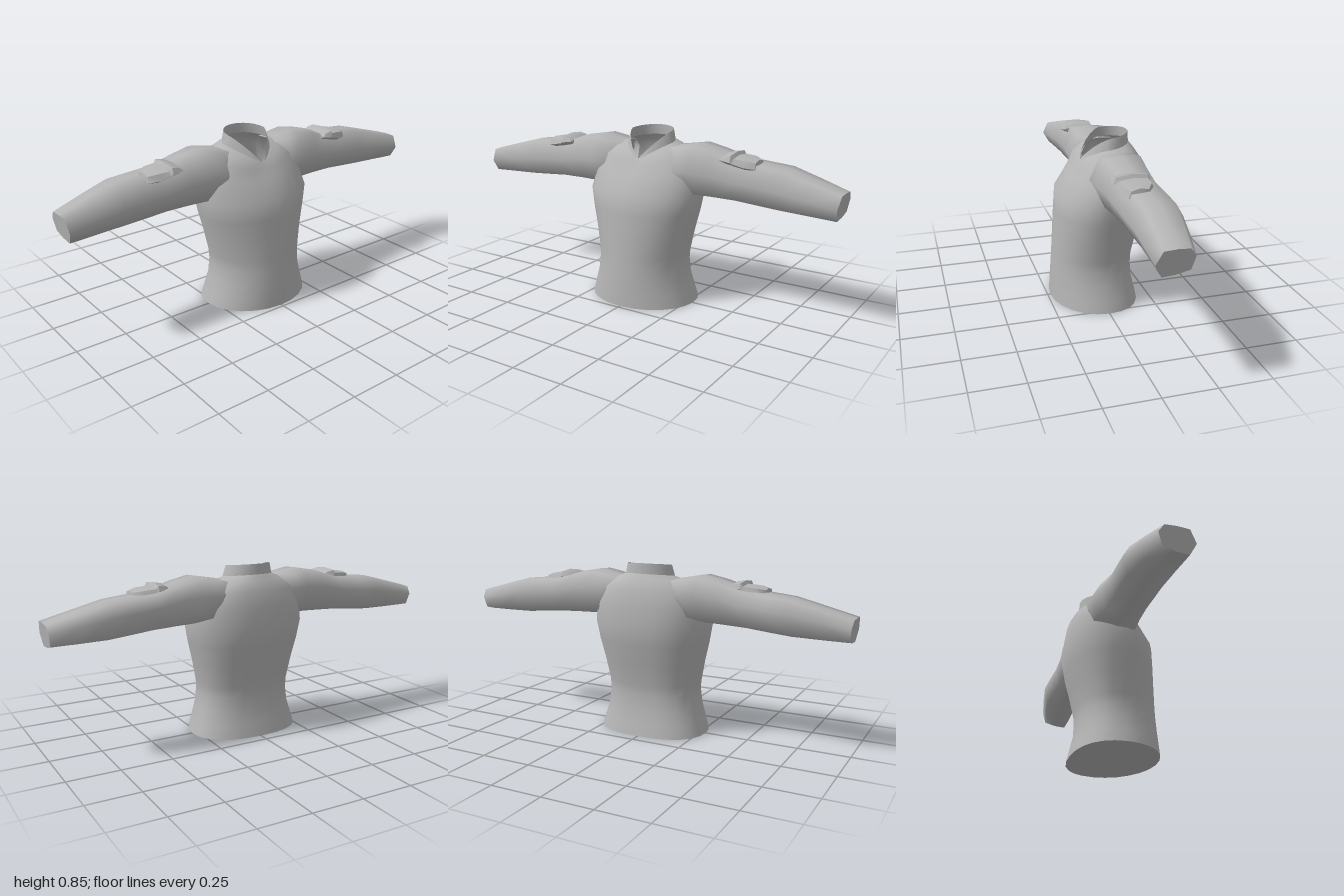
import * as THREE from 'three';
import { toCreasedNormals } from 'three/addons/utils/BufferGeometryUtils.js';

const spow = (v, e) => Math.sign(v) * Math.pow(Math.abs(v), e);

// Skin closed cross-sections; caps get their own vertices so their edges stay sharp
function loft(rings, { flip = false, capStart = false, capEnd = false } = {}) {
  const n = rings[0].length, pos = rings.flat(2), idx = [];
  const tri = (a, b, c) => (flip ? idx.push(a, c, b) : idx.push(a, b, c));
  for (let i = 0; i < rings.length - 1; i++) {
    for (let j = 0; j < n; j++) {
      const a = i * n + j, b = i * n + (j + 1) % n;
      tri(a, b, b + n);
      tri(a, b + n, a + n);
    }
  }
  const cap = (ring, start) => {
    const o = pos.length / 3;
    pos.push(...ring.flat());
    for (let j = 1; j < n - 1; j++) start ? tri(o, o + j + 1, o + j) : tri(o, o + j, o + j + 1);
  };
  if (capStart) cap(rings[0], true);
  if (capEnd) cap(rings[rings.length - 1], false);
  const g = new THREE.BufferGeometry();
  g.setAttribute('position', new THREE.Float32BufferAttribute(pos, 3));
  g.setIndex(idx);
  g.computeVertexNormals();
  return g;
}

// Body ring: heights at front, side and back, half width, z of centre, front and back, corner fullness
function bodyRing([yf, ys, yb, w, zc, zf, zb, nf = 2, nb = 2.4]) {
  const pts = [], N = 24;
  for (let j = 0; j < N; j++) {
    const t = (j / N) * Math.PI * 2, s = Math.sin(t), c = Math.cos(t);
    const front = c >= 0, e = 2 / (front ? nf : nb);
    const x = w * spow(s, e), k = Math.pow(Math.abs(c), e);
    const y = front ? ys + (yf - ys) * (1 - Math.abs(x) / w) : ys + (yb - ys) * k;
    pts.push([x, y, zc + ((front ? zf : zb) - zc) * k]);
  }
  return pts;
}

// Sleeve section: z fraction from back to front, y fraction from bottom to top
const SECTION = [[0.82, 0.97], [0.48, 1], [0.15, 0.97], [0, 0.66], [0.1, 0.17], [0.45, 0.04], [0.82, 0], [1, 0.47]];

// Sleeve stations: x, bottom y, top y, front z, back z
const SLEEVE = [
  [0.14, 0.63, 0.775, 0.03, -0.16],
  [0.2, 0.58, 0.785, 0.08, -0.185],
  [0.28, 0.565, 0.8, 0.08, -0.18],
  [0.38, 0.563, 0.782, 0.06, -0.165],
  [0.5, 0.56, 0.748, 0.05, -0.165],
  [0.62, 0.55, 0.736, 0.045, -0.172],
  [0.72, 0.542, 0.727, 0.04, -0.175],
  [0.86, 0.538, 0.69, 0.042, -0.15],
  [1, 0.535, 0.652, 0.045, -0.12],
];

// Shoulder patch stations: x, top y, front lip y, front z, back z
const PATCH = [
  [0.43, 0.764, 0.738, 0.046, -0.11],
  [0.445, 0.776, 0.736, 0.052, -0.114],
  [0.485, 0.783, 0.73, 0.054, -0.114],
  [0.495, 0.768, 0.724, 0.046, -0.112],
  [0.55, 0.764, 0.712, 0.042, -0.108],
  [0.595, 0.755, 0.706, 0.02, -0.08],
  [0.6, 0.735, 0.706, 0.01, -0.075],
];

export function createModel() {
  const model = new THREE.Group();
  model.name = 'jacket';
  const cloth = new THREE.MeshStandardMaterial({ color: 0xb4b4b4, side: THREE.DoubleSide });
  cloth.name = 'grey cloth';
  const add = (name, geometry) => {
    const mesh = new THREE.Mesh(geometry, cloth);
    mesh.name = name;
    model.add(mesh);
  };

  // Torso, closed at the hem and open at the neck
  const level = (y, w, zf, zb) => [y, y, y, w, 0, zf, zb];
  const neckBase = [0.705, 0.785, 0.8, 0.125, -0.05, 0.08, -0.165, 1.5, 2];
  add('torso', loft([
    level(0, 0.28, 0.235, -0.2),
    level(0.06, 0.262, 0.232, -0.186),
    level(0.13, 0.241, 0.228, -0.17),
    level(0.2, 0.232, 0.223, -0.168),
    level(0.25, 0.236, 0.219, -0.17),
    level(0.36, 0.257, 0.211, -0.195),
    level(0.46, 0.281, 0.203, -0.22),
    level(0.55, 0.298, 0.195, -0.235),
    [0.635, 0.65, 0.65, 0.285, -0.03, 0.133, -0.225],
    [0.675, 0.735, 0.725, 0.25, -0.04, 0.104, -0.214],
    [0.695, 0.77, 0.77, 0.18, -0.05, 0.088, -0.187, 1.8, 2.2],
    neckBase,
  ].map(bodyRing), { capStart: true }));

  // Standing collar with a V opening at the front
  add('collar', loft([
    neckBase,
    [0.71, 0.838, 0.85, 0.112, -0.055, 0.073, -0.162, 1.45, 2],
  ].map(bodyRing)));

  // Sleeves and shoulder patches, mirrored
  for (const side of [1, -1]) {
    const label = side > 0 ? 'left' : 'right';
    const flip = side > 0;
    const sleeve = SLEEVE.map(([x, yb, yt, zf, zb], i) => SECTION.map(([u, v]) => {
      const slant = i === SLEEVE.length - 1 ? 0.015 * (1 - v) : 0;
      return [side * (x - slant), yb + (yt - yb) * v, zb + (zf - zb) * u];
    }));
    add(label + 'Sleeve', loft(sleeve, { flip, capEnd: true }));

    const patch = PATCH.map(([x, yt, yl, zf, zb]) => [
      [zf - 0.012, yt - 0.01], [(zf + zb) / 2, yt], [zb + 0.01, yt - 0.006],
      [zb, yt - 0.03], [(zf + zb) / 2, yl - 0.02], [zf - 0.03, yl - 0.005], [zf, yl + 0.012],
    ].map(([z, y]) => [side * x, y, z]));
    add(label + 'ShoulderPatch',
      toCreasedNormals(loft(patch, { flip, capStart: true, capEnd: true }), 0.7));
  }
  return model;
}
